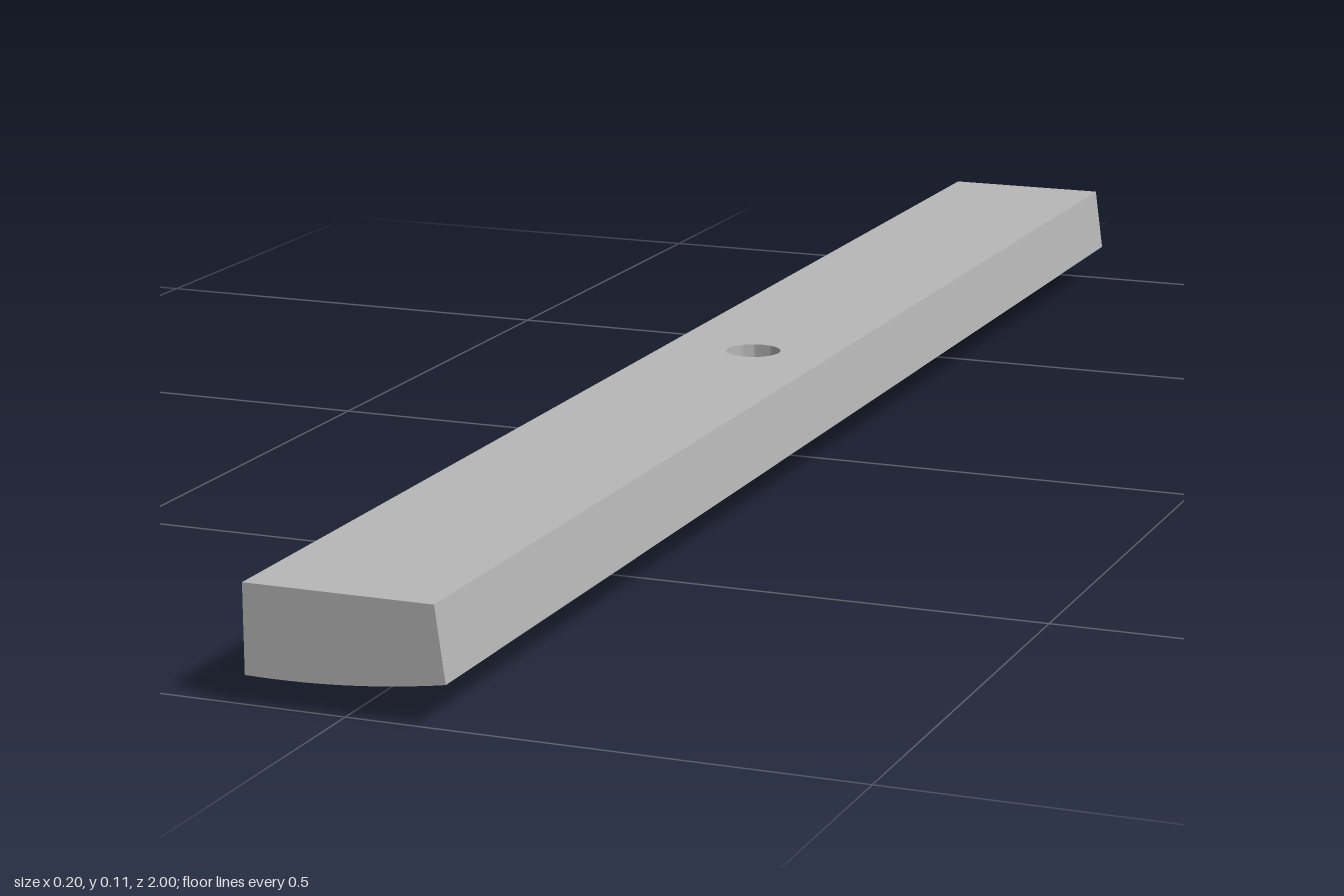
import * as THREE from 'three';
import { toCreasedNormals, mergeVertices } from 'three/addons/utils/BufferGeometryUtils.js';

const HALF = 0.1, TOP = 0.115, TOP_RIGHT = 0.09, HOLE = 0.03, RELIEF = 0.0273;

// Height of the gently bowed underside across the width
const under = (x) => 0.03 + 0.07 * x + 0.5 * x * x;

export function createModel() {
  const group = new THREE.Group();
  const grey = new THREE.MeshStandardMaterial({ color: 0xb8b8b8 });
  grey.name = 'grey';

  const add = (name, geometry) => {
    const mesh = new THREE.Mesh(toCreasedNormals(geometry, 0.5), grey);
    mesh.name = name;
    group.add(mesh);
    return mesh;
  };

  // Two solid lengths of the bar
  const profile = new THREE.Shape();
  profile.moveTo(-HALF, TOP);
  for (let i = 0; i <= 16; i++) {
    const x = -HALF + (2 * HALF * i) / 16;
    profile.lineTo(x, under(x));
  }
  profile.lineTo(TOP_RIGHT, TOP);
  for (const [name, z] of [['frontBar', HALF], ['backBar', -1]]) {
    const g = new THREE.ExtrudeGeometry(profile, { depth: 1 - HALF, bevelEnabled: false });
    g.translate(0, 0, z);
    add(name, g);
  }

  // Middle length with the round through hole: closed sections swept about the hole
  const pos = [], index = [], SEG = 64, STEPS = 4, N = 2 * (STEPS + 1);
  for (let i = 0; i <= SEG; i++) {
    const t = (i / SEG) * Math.PI * 2, c = Math.cos(t), s = Math.sin(t);
    const edge = HALF / Math.max(Math.abs(c), Math.abs(s));
    const point = (k, isTop) => {
      const r = THREE.MathUtils.lerp(HOLE, edge, k / STEPS), x = r * c;
      const squeeze = isTop && x > 0 ? 1 - (1 - TOP_RIGHT / HALF) * (k / STEPS) : 1;
      pos.push(x * squeeze, isTop ? TOP : under(x), r * s);
    };
    for (let k = 0; k <= STEPS; k++) point(k, true);
    for (let k = STEPS; k >= 0; k--) point(k, false);
  }
  for (let i = 0; i < SEG; i++) {
    for (let k = 0; k < N; k++) {
      const a = i * N + k, b = i * N + ((k + 1) % N);
      index.push(a, a + N, b, b, a + N, b + N);
    }
  }
  const middle = new THREE.BufferGeometry();
  middle.setAttribute('position', new THREE.Float32BufferAttribute(pos, 3));
  middle.setIndex(index);
  add('drilledMiddle', mergeVertices(middle));

  // Raised shapes under the bar, following its bow
  const relief = (name, shape, x0 = 0, z0 = 0) => {
    const g = new THREE.ExtrudeGeometry(shape, { depth: 1, bevelEnabled: false, curveSegments: 16 });
    g.rotateX(-Math.PI / 2);
    g.translate(x0, 0, z0);
    const p = g.attributes.position;
    for (let i = 0; i < p.count; i++) {
      const y = under(p.getX(i));
      p.setY(i, p.getY(i) > 0.5 ? y + 0.004 : y - RELIEF);
    }
    add(name, g);
  };

  // Straight ridge between two (x, z) points
  const ridge = (name, x1, z1, x2, z2, width = 0.012) => {
    const a = new THREE.Vector2(x1, -z1), b = new THREE.Vector2(x2, -z2);
    const d = b.clone().sub(a).normalize().multiplyScalar(width / 2);
    const n = new THREE.Vector2(-d.y, d.x);
    relief(name, new THREE.Shape([
      a.clone().sub(n), b.clone().sub(n), b.clone().add(n), a.clone().add(n),
    ]));
  };

  // Curved ridge, open toward -x, spanning the given half angle
  const arc = (name, x, z, outer, inner, half) => {
    const s = new THREE.Shape();
    s.absarc(0, 0, outer, -half, half, false);
    s.absarc(0, 0, inner, half, -half, true);
    relief(name, s, x, z);
  };

  // Short pegs near the front end
  for (const x of [0.013, -0.013]) ridge('peg', x - 0.008, 0.885, x + 0.008, 0.885);

  // Cross ridges
  ridge('crossRidge', -0.03, 0.68, 0.03, 0.68);
  ridge('crossRidge', -0.037, -0.32, 0.036, -0.32);

  // Forked ridges, each with two arms opening toward the back
  for (const z of [0.335, -0.66]) {
    ridge('forkArm', -0.06, z + 0.09, -0.024, z);
    ridge('forkArm', -0.06, z + 0.07, -0.083, z);
  }
  ridge('forkStub', -0.062, 0.41, -0.084, 0.435);

  // Long ridge, small hoops and the large hoop with its inner stub
  ridge('longRidge', -0.078, 0.19, -0.078, 0.09);
  arc('smallHoop', -0.068, 0.042, 0.022, 0.011, Math.PI / 2);
  arc('smallHoop', -0.005, -0.96, 0.022, 0.011, Math.PI / 2);
  arc('largeHoop', -0.052, -0.128, 0.037, 0.025, 2.2);
  ridge('hoopStub', -0.07, -0.128, -0.05, -0.128);

  return group;
}
